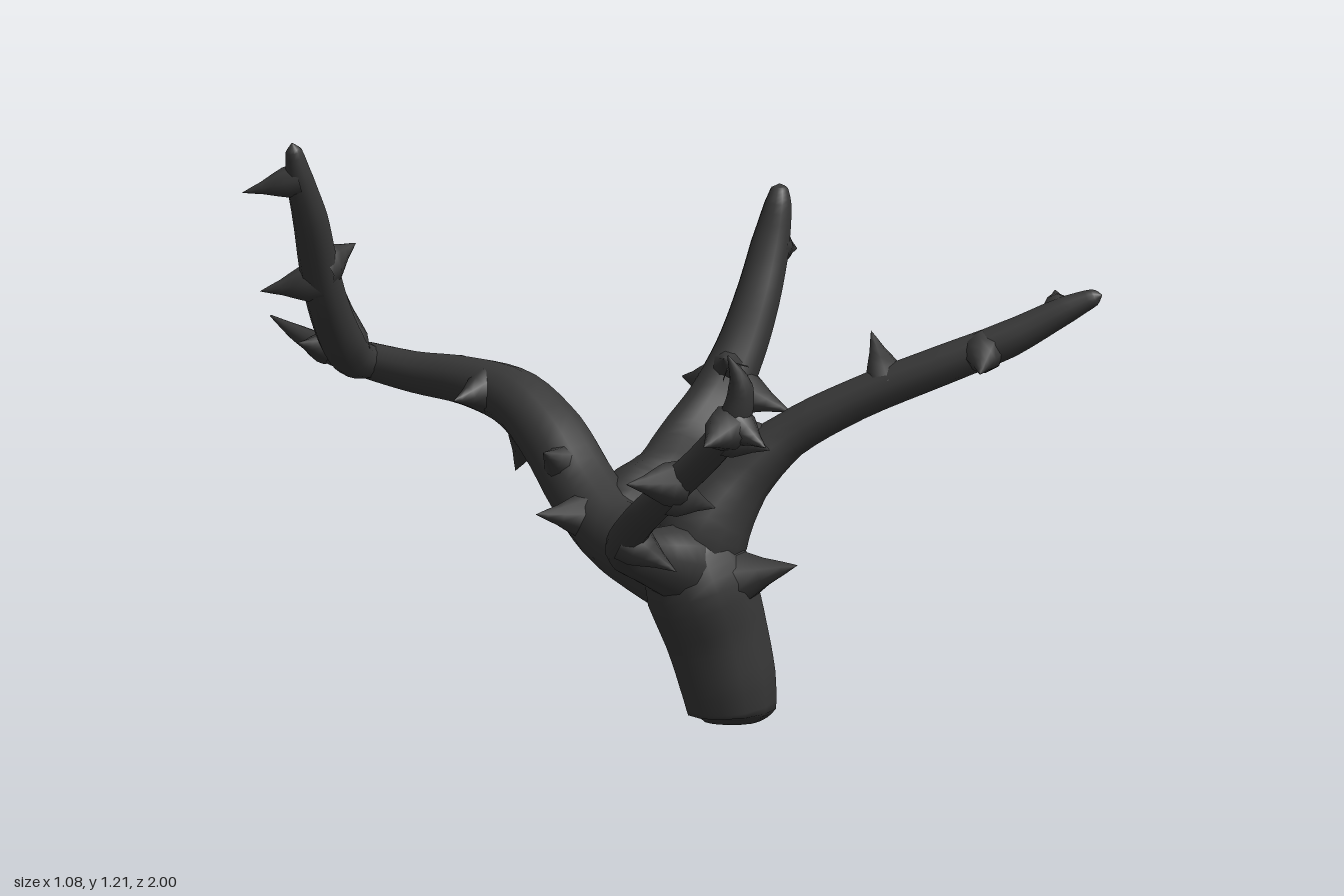
import * as THREE from 'three';

const V = (x, y, z) => new THREE.Vector3(x, y, z);
const SIDES = 12;

// Each limb: path points as [x, y, z, radius]; each thorn: tip [x, y, z, base radius]
const LIMBS = {
  trunk: {
    path: [[-0.02, 0, 0.3, 0.06], [-0.02, 0.025, 0.3, 0.098], [-0.035, 0.1, 0.3, 0.108], [-0.06, 0.2, 0.29, 0.115],
      [-0.095, 0.3, 0.28, 0.125], [-0.11, 0.38, 0.26, 0.11], [-0.11, 0.45, 0.24, 0.05], [-0.11, 0.47, 0.24, 0.002]],
    thorns: [[-0.03, 0.36, 0.5, 0.085], [-0.1, 0.49, 0.15, 0.05]],
  },
  frontLeftBranch: {
    path: [[-0.11, 0.33, 0.26, 0.1], [-0.09, 0.43, 0.29, 0.1], [-0.04, 0.54, 0.35, 0.068], [0.02, 0.63, 0.43, 0.05],
      [0.1, 0.71, 0.55, 0.045], [0.2, 0.79, 0.71, 0.043], [0.28, 0.85, 0.83, 0.04], [0.35, 0.915, 0.93, 0.03],
      [0.385, 0.945, 0.985, 0.018], [0.39, 0.95, 1.0, 0.002]],
    thorns: [[0.43, 0.94, 0.83, 0.035], [0.155, 0.79, 0.86, 0.045], [0.15, 0.855, 0.55, 0.045],
      [-0.05, 0.68, 0.33, 0.045]],
  },
  rightBranch: {
    path: [[-0.08, 0.33, 0.27, 0.11], [-0.17, 0.36, 0.28, 0.085], [-0.27, 0.385, 0.28, 0.06], [-0.35, 0.41, 0.29, 0.045],
      [-0.39, 0.47, 0.35, 0.038], [-0.4, 0.56, 0.46, 0.037], [-0.4, 0.66, 0.58, 0.036], [-0.4, 0.74, 0.65, 0.035],
      [-0.405, 0.81, 0.67, 0.027], [-0.44, 0.88, 0.665, 0.002]],
    thorns: [[-0.54, 0.59, 0.46, 0.05], [-0.295, 0.515, 0.5, 0.05], [-0.525, 0.69, 0.67, 0.05],
      [-0.31, 0.66, 0.67, 0.05], [-0.39, 0.68, 0.73, 0.045], [-0.37, 0.84, 0.62, 0.035],
      [-0.29, 0.475, 0.24, 0.05], [-0.32, 0.37, 0.41, 0.05]],
  },
  backBranch: {
    path: [[-0.1, 0.33, 0.26, 0.11], [-0.11, 0.36, 0.15, 0.095], [-0.1, 0.39, 0.04, 0.08], [-0.065, 0.46, -0.08, 0.08],
      [-0.04, 0.56, -0.19, 0.077], [-0.025, 0.635, -0.31, 0.066], [-0.02, 0.66, -0.45, 0.054], [-0.025, 0.665, -0.6, 0.046],
      [-0.035, 0.68, -0.74, 0.04], [-0.04, 0.695, -0.85, 0.03], [-0.045, 0.72, -0.93, 0.018], [-0.05, 0.75, -1.0, 0.002]],
    thorns: [[-0.18, 0.56, -0.1, 0.06], [-0.26, 0.44, -0.05, 0.06], [-0.155, 0.64, -0.38, 0.055],
      [0.11, 0.66, -0.5, 0.05], [-0.155, 0.72, -0.83, 0.035], [0.03, 0.7, -0.69, 0.035], [0, 0.475, -0.34, 0.06]],
  },
  backRightBranch: {
    path: [[-0.03, 0.675, -0.72, 0.035], [-0.1, 0.695, -0.715, 0.045], [-0.17, 0.745, -0.69, 0.048],
      [-0.24, 0.83, -0.665, 0.045], [-0.3, 0.93, -0.64, 0.042], [-0.36, 1.04, -0.61, 0.038],
      [-0.41, 1.13, -0.595, 0.03], [-0.435, 1.195, -0.59, 0.018], [-0.44, 1.212, -0.59, 0.002]],
    thorns: [[-0.49, 1.1, -0.69, 0.036], [-0.365, 0.865, -0.75, 0.045], [-0.2, 0.965, -0.62, 0.05],
      [-0.075, 0.84, -0.77, 0.05]],
  },
  leftBranch: {
    path: [[-0.08, 0.41, 0.02, 0.07], [0.02, 0.43, 0.0, 0.095], [0.1, 0.46, 0.005, 0.095], [0.2, 0.535, -0.025, 0.075],
      [0.29, 0.62, -0.025, 0.065], [0.355, 0.73, -0.01, 0.056], [0.4, 0.84, 0.0, 0.05], [0.435, 0.95, 0.005, 0.043],
      [0.45, 1.04, 0.015, 0.03], [0.455, 1.075, 0.015, 0.018], [0.455, 1.083, 0.015, 0.002]],
    thorns: [[0.54, 0.93, -0.01, 0.045], [0.245, 0.73, 0.04, 0.05], [0.385, 0.605, 0.11, 0.06],
      [0.34, 0.66, -0.165, 0.055], [0.41, 0.8, -0.08, 0.04]],
  },
};

// Round cross-sections swept along a smooth path, with a radius per path point
function limbGeometry(path, curve) {
  const steps = (path.length - 1) * 4;
  const start = curve.getTangent(0);
  let normal = (Math.abs(start.x) < 0.7 ? V(1, 0, 0) : V(0, 0, 1));
  const pos = [], index = [];
  for (let i = 0; i <= steps; i++) {
    const t = i / steps, f = t * (path.length - 1);
    const k = Math.min(Math.floor(f), path.length - 2);
    const r = THREE.MathUtils.lerp(path[k][3], path[k + 1][3], f - k);
    const c = curve.getPoint(t), tan = curve.getTangent(t);
    normal = normal.clone().addScaledVector(tan, -normal.dot(tan)).normalize();
    const side = tan.clone().cross(normal);
    for (let j = 0; j < SIDES; j++) {
      const a = (j / SIDES) * Math.PI * 2;
      const p = c.clone().addScaledVector(normal, Math.cos(a) * r).addScaledVector(side, Math.sin(a) * r);
      pos.push(p.x, p.y, p.z);
      if (i === steps) continue;
      const j2 = (j + 1) % SIDES, a0 = i * SIDES + j, a1 = i * SIDES + j2;
      index.push(a0, a1, a1 + SIDES, a0, a1 + SIDES, a0 + SIDES);
    }
  }
  // end caps
  const last = steps * SIDES;
  for (let j = 1; j < SIDES - 1; j++) {
    index.push(0, j + 1, j, last, last + j, last + j + 1);
  }
  const g = new THREE.BufferGeometry();
  g.setAttribute('position', new THREE.Float32BufferAttribute(pos, 3));
  g.setIndex(index);
  g.computeVertexNormals();
  return g;
}

// Hollow-sided spike rooted on the nearest point of its limb
function thorn(tip, curve, material) {
  const end = V(tip[0], tip[1], tip[2]);
  const root = curve.getPoints(80).reduce((a, b) => (b.distanceTo(end) < a.distanceTo(end) ? b : a));
  const dir = end.clone().sub(root), L = dir.length(), r = tip[3];
  const profile = [[1, 0], [0.92, 0.25], [0.66, 0.45], [0.38, 0.65], [0.17, 0.85], [0, 1]]
    .map(([w, h]) => new THREE.Vector2(w * r, h * L));
  const mesh = new THREE.Mesh(new THREE.LatheGeometry(profile, 8), material);
  mesh.position.copy(root);
  mesh.quaternion.setFromUnitVectors(V(0, 1, 0), dir.normalize());
  mesh.name = 'thorn';
  return mesh;
}

export function createModel() {
  const model = new THREE.Group();
  model.name = 'thornyBranch';
  const bark = new THREE.MeshStandardMaterial({ color: 0x383838 });
  for (const [name, { path, thorns }] of Object.entries(LIMBS)) {
    const curve = new THREE.CatmullRomCurve3(path.map((p) => V(p[0], p[1], p[2])));
    const group = new THREE.Group();
    group.name = name;
    const limb = new THREE.Mesh(limbGeometry(path, curve), bark);
    limb.name = name + 'Limb';
    group.add(limb, ...thorns.map((t) => thorn(t, curve, bark)));
    model.add(group);
  }
  return model;
}
